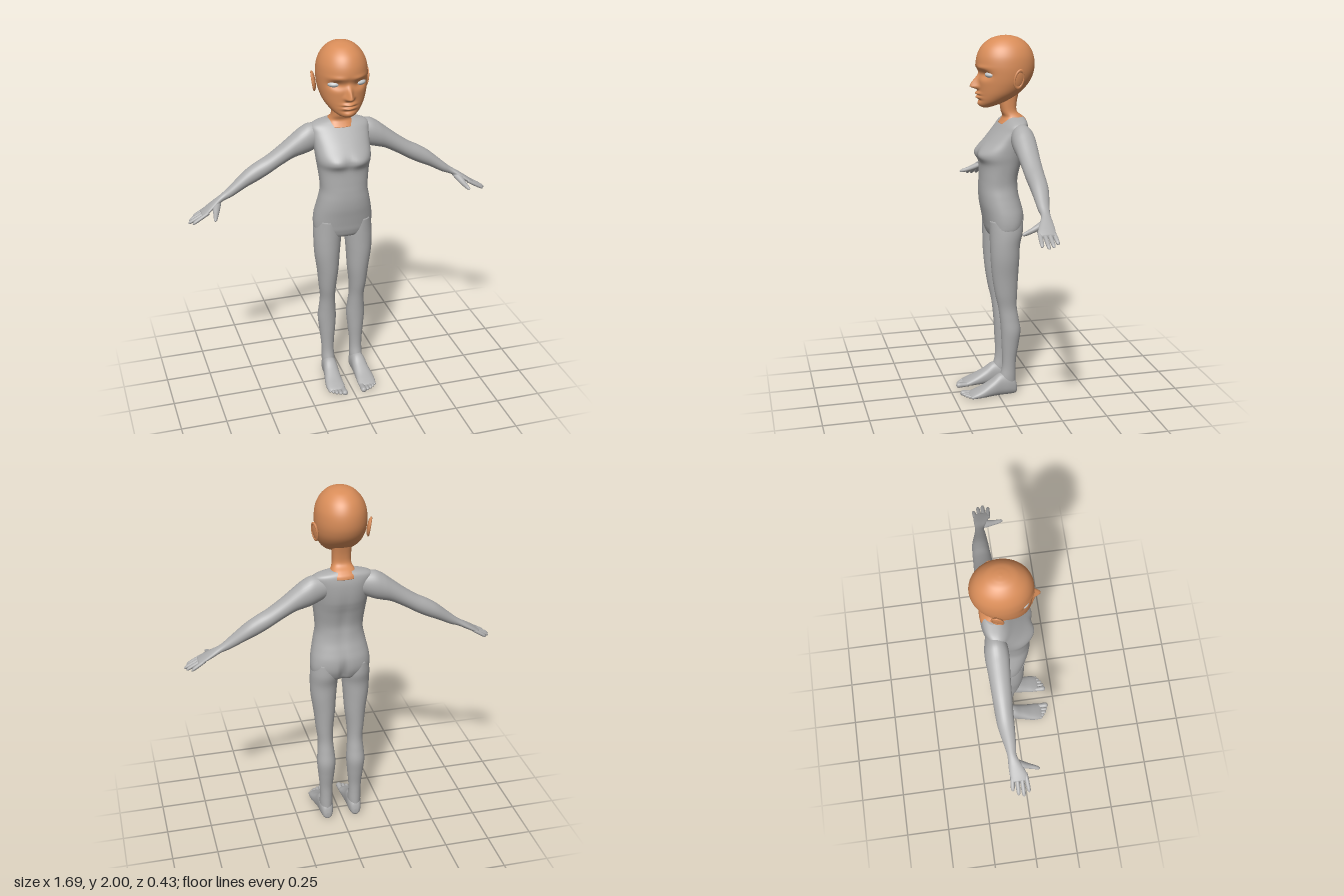
import * as THREE from 'three';

const mat = (name, color) => {
  const m = new THREE.MeshStandardMaterial({ color });
  m.name = name;
  return m;
};

// Smooth interpolation through rows of section numbers
function sample(keys, t) {
  const f = t * (keys.length - 1), i = Math.min(Math.floor(f), keys.length - 2), u = f - i;
  const at = k => keys[Math.max(0, Math.min(keys.length - 1, k))];
  return keys[i].map((_, c) => {
    const [a, b, d, e] = [at(i - 1)[c], at(i)[c], at(i + 1)[c], at(i + 2)[c]];
    return b + 0.5 * u * (d - a + u * (2 * a - 5 * b + 4 * d - e + u * (3 * (b - d) + e - a)));
  });
}

// Closed skin over cross-sections; place() puts a section point in space
function loft(keys, place, rows = 40, segs = 32, power = 1, warp = null) {
  const pos = [], idx = [];
  const bend = v => Math.sign(v) * Math.abs(v) ** power;
  const put = (k, c, s) => {
    const p = place(k, c, s);
    pos.push(...(warp ? warp(...p) : p));
  };
  for (let i = 0; i <= rows; i++) {
    const k = sample(keys, i / rows);
    for (let j = 0; j < segs; j++) {
      const a = (j / segs) * Math.PI * 2;
      put(k, bend(Math.cos(a)), bend(Math.sin(a)));
    }
  }
  const n = (rows + 1) * segs;
  put(keys[0], 0, 0);
  put(keys[keys.length - 1], 0, 0);
  for (let j = 0; j < segs; j++) {
    const j2 = (j + 1) % segs, top = rows * segs;
    for (let i = 0; i < rows; i++) {
      const a = i * segs + j, b = i * segs + j2;
      idx.push(a, a + segs, b, b, a + segs, b + segs);
    }
    idx.push(n, j, j2, n + 1, top + j2, top + j);
  }
  const g = new THREE.BufferGeometry();
  g.setAttribute('position', new THREE.Float32BufferAttribute(pos, 3));
  g.setIndex(idx);
  g.computeVertexNormals();
  return g;
}

// Section layouts
const upright = ([y, w, f, b], c, s) => [w * c, y, (f + b) / 2 + s * (f - b) / 2];
const legRing = ([y, i, o, f, b], c, s) => [(i + o) / 2 + c * (o - i) / 2, y, (f + b) / 2 + s * (f - b) / 2];
const alongX = ([x, y, z, rz, ry], c, s) => [x, y + s * ry, z + c * rz];
const alongZ = ([z, x, w, top, bot], c, s) => [x + s * w, (top + bot) / 2 + c * (top - bot) / 2, z];

const bump = (d, s) => Math.exp(-((d / s) ** 2));

function mirrored(geo) {
  const g = geo.clone().scale(-1, 1, 1), ix = g.index.array;
  for (let i = 0; i < ix.length; i += 3) [ix[i], ix[i + 1]] = [ix[i + 1], ix[i]];
  g.computeVertexNormals();
  return g;
}

// Facial relief: nose, sockets, brow, lips and chin
function face(x, y, z) {
  if (z < 0) return [x, y, z];
  const ax = Math.abs(x), fade = Math.min(1, z / 0.04);
  let d = 0.043 * bump(x, 0.013 + 0.006 * bump(y - 1.735, 0.02)) * bump(y - 1.737, y > 1.737 ? 0.042 : 0.014);
  d += 0.008 * bump(ax - 0.014, 0.009) * bump(y - 1.731, 0.01);
  d -= 0.022 * bump(ax - 0.064, 0.036) * bump(y - 1.802, 0.023);
  d -= 0.01 * bump(x, 0.03) * bump(y - 1.81, 0.025);
  d += 0.005 * bump(ax - 0.06, 0.04) * bump(y - 1.84, 0.012);
  const lip = bump(x, 0.03);
  d += lip * (0.017 * bump(y - 1.699, 0.009) + 0.014 * bump(y - 1.678, 0.009) - 0.008 * bump(y - 1.689, 0.004));
  d -= 0.006 * bump(x, 0.035) * bump(y - 1.664, 0.008);
  d += 0.005 * bump(x, 0.025) * bump(y - 1.643, 0.012);
  return [x, y, z + d * fade];
}

// Spine groove, cleft and a soft valley between the breasts
function bodyRelief(x, y, z) {
  if (z < -0.04) {
    z += 0.022 * bump(x, 0.018) * bump(y - 0.97, 0.07) + 0.008 * bump(x, 0.025) * bump(y - 1.27, 0.15);
  } else if (z > 0) {
    z -= 0.008 * bump(x, 0.025) * bump(y - 1.37, 0.04);
    z += 0.008 * bump(Math.abs(x) - 0.07, 0.04) * bump(y - 1.372, 0.03);
  }
  return [x, y, z];
}

export function createModel() {
  const root = new THREE.Group();
  root.name = 'figure';
  const skin = mat('skin', 0xd98d59), suit = mat('bodyGrey', 0xaeaeae), white = mat('eyeGrey', 0xc6cacc);
  const add = (name, geo, m) => {
    const mesh = new THREE.Mesh(geo, m);
    mesh.name = name;
    root.add(mesh);
  };
  const pair = (name, geo, m) => {
    add(name + 'Left', geo, m);
    add(name + 'Right', mirrored(geo), m);
  };

  // Head: height, half width, front, back
  add('head', loft([
    [1.624, 0.022, 0.07, 0.025], [1.635, 0.047, 0.084, -0.01], [1.66, 0.079, 0.089, -0.07],
    [1.70, 0.108, 0.09, -0.135], [1.75, 0.126, 0.092, -0.183], [1.80, 0.134, 0.096, -0.208],
    [1.85, 0.135, 0.1, -0.215], [1.90, 0.127, 0.092, -0.207], [1.945, 0.105, 0.068, -0.183],
    [1.98, 0.07, 0.026, -0.142], [1.995, 0.036, -0.018, -0.1], [2.0, 0.006, -0.054, -0.066],
  ], upright, 130, 128, 1, face), skin);

  // Neck flaring into a collar patch
  add('neck', loft([
    [1.535, 0.08, -0.024, -0.174], [1.553, 0.076, -0.038, -0.168], [1.572, 0.061, -0.046, -0.15],
    [1.6, 0.05, -0.036, -0.119], [1.65, 0.05, -0.03, -0.119], [1.72, 0.055, -0.03, -0.135],
  ], upright, 30, 40, 0.8), skin);

  // Eyes
  pair('eye', new THREE.SphereGeometry(1, 32, 20).scale(0.036, 0.018, 0.031)
    .rotateY(0.3).translate(0.067, 1.803, 0.036), white);

  // Ears: thin shell with a raised rim
  const earPose = g => g.rotateZ(-0.12).rotateY(0.3).rotateX(-0.12).translate(0.14, 1.785, -0.095);
  pair('ear', earPose(new THREE.SphereGeometry(1, 24, 18).scale(0.01, 0.05, 0.03)), skin);
  pair('earRim', earPose(new THREE.TorusGeometry(1, 0.2, 10, 36).rotateY(Math.PI / 2)
    .scale(0.028, 0.046, 0.027).translate(0.004, 0, 0)), skin);

  // Torso
  add('torso', loft([
    [0.905, 0.06, -0.01, -0.07], [0.925, 0.13, 0.035, -0.115], [0.96, 0.158, 0.052, -0.138],
    [1.0, 0.164, 0.06, -0.15], [1.05, 0.16, 0.07, -0.15], [1.1, 0.15, 0.08, -0.138],
    [1.15, 0.139, 0.085, -0.125], [1.2, 0.13, 0.085, -0.12], [1.25, 0.132, 0.083, -0.121],
    [1.32, 0.14, 0.083, -0.138], [1.365, 0.147, 0.1, -0.153], [1.4, 0.15, 0.09, -0.163],
    [1.45, 0.153, 0.045, -0.17], [1.5, 0.158, 0, -0.172], [1.535, 0.16, -0.03, -0.168],
    [1.555, 0.132, -0.05, -0.162], [1.57, 0.07, -0.065, -0.15],
  ], upright, 90, 64, 0.88, bodyRelief), suit);

  // Arms running into the palms
  pair('arm', loft([
    [0.08, 1.485, -0.108, 0.045, 0.055], [0.16, 1.47, -0.11, 0.06, 0.078], [0.21, 1.452, -0.11, 0.062, 0.075],
    [0.26, 1.426, -0.11, 0.058, 0.063], [0.33, 1.38, -0.11, 0.053, 0.054], [0.4, 1.335, -0.11, 0.05, 0.051],
    [0.46, 1.303, -0.11, 0.047, 0.051], [0.52, 1.27, -0.108, 0.043, 0.045], [0.6, 1.215, -0.1, 0.031, 0.032],
    [0.65, 1.185, -0.097, 0.024, 0.021], [0.7, 1.155, -0.086, 0.036, 0.019],
    [0.745, 1.128, -0.075, 0.045, 0.015], [0.772, 1.114, -0.073, 0.039, 0.009],
  ], alongX, 72, 32), suit);

  // Fingers: base z, tip x, y, z
  [[-0.108, 0.812, 1.084, -0.115], [-0.085, 0.836, 1.077, -0.087],
    [-0.062, 0.845, 1.074, -0.06], [-0.04, 0.827, 1.08, -0.031]].forEach(([z0, x, y, z], i) => {
    const at = (t, r) => [0.735 + (x - 0.735) * t, 1.13 + (y - 1.13) * t, z0 + (z - z0) * t, r, r];
    pair('finger' + (i + 1), loft([at(0, 0.011), at(0.5, 0.0115), at(0.8, 0.0105), at(0.93, 0.008), at(1, 0.002)],
      alongX, 14, 12), suit);
  });
  pair('thumb', loft([
    [-0.09, 0.672, 0.015, 1.18, 1.152], [-0.05, 0.692, 0.02, 1.163, 1.128], [-0.01, 0.703, 0.014, 1.142, 1.114],
    [0.02, 0.711, 0.011, 1.13, 1.108], [0.034, 0.715, 0.007, 1.122, 1.108], [0.04, 0.716, 0.002, 1.116, 1.112],
  ], alongZ, 20, 14), suit);

  // Legs: height, inner x, outer x, front, back
  pair('leg', loft([
    [0.03, 0.052, 0.116, 0, -0.1], [0.1, 0.047, 0.12, -0.008, -0.1], [0.16, 0.049, 0.119, -0.022, -0.1],
    [0.22, 0.047, 0.122, -0.024, -0.103], [0.3, 0.039, 0.13, -0.02, -0.116], [0.38, 0.033, 0.137, -0.016, -0.126],
    [0.45, 0.038, 0.132, -0.01, -0.115], [0.52, 0.043, 0.128, 0, -0.104], [0.6, 0.039, 0.137, 0.018, -0.105],
    [0.7, 0.028, 0.147, 0.034, -0.11], [0.8, 0.021, 0.161, 0.043, -0.115], [0.88, 0.014, 0.165, 0.046, -0.119],
    [0.95, 0.008, 0.164, 0.048, -0.135], [1.02, 0.02, 0.155, 0.05, -0.135],
  ], legRing, 70, 36), suit);

  // Feet: z, centre x, half width, top, bottom
  pair('foot', loft([
    [-0.108, 0.083, 0.012, 0.045, 0.015], [-0.096, 0.083, 0.028, 0.085, 0.002], [-0.06, 0.083, 0.039, 0.12, 0],
    [-0.01, 0.085, 0.041, 0.126, 0], [0.04, 0.088, 0.045, 0.092, 0], [0.09, 0.092, 0.05, 0.062, 0],
    [0.13, 0.092, 0.052, 0.043, 0.001], [0.155, 0.091, 0.047, 0.031, 0.004], [0.168, 0.088, 0.036, 0.023, 0.008],
  ], alongZ, 44, 32, 0.85), suit);

  // Toes: x, tip z, radius
  [[0.056, 0.212, 0.017], [0.08, 0.205, 0.011], [0.1, 0.195, 0.011], [0.117, 0.182, 0.01], [0.132, 0.168, 0.0095]]
    .forEach(([x, tip, r], i) => {
      const at = (z, k) => [z, x, r * k, 0.016 + r * k * 0.9, 0.016 - r * k * 0.9];
      pair('toe' + (i + 1), loft([at(tip - 0.075, 0.8), at(tip - 0.04, 0.9), at(tip - 0.018, 1),
        at(tip - 0.006, 0.8), at(tip, 0.15)], alongZ, 14, 14), suit);
    });

  return root;
}
